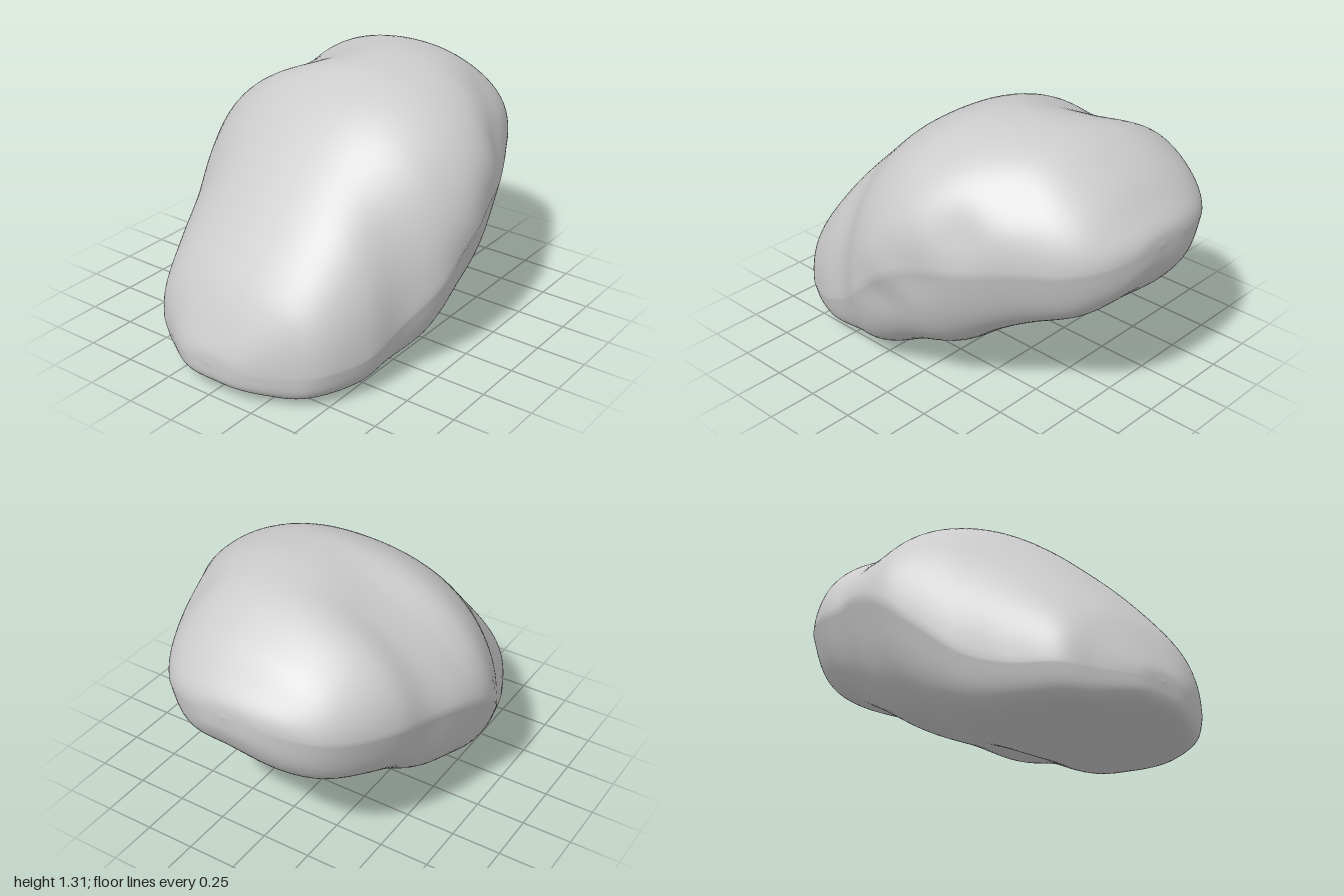
import * as THREE from 'three';

// Cross-sections from front to back:
// z, top y, bottom y, left edge x, right edge x, height of widest line, roundness of the sloping shoulder
const sections = [
  [1.0, 0.17, 0.17, 0.0, 0.0, 0.17, 2.2],
  [0.985, 0.25, 0.08, -0.16, 0.17, 0.16, 2.2],
  [0.9, 0.43, 0.035, -0.32, 0.37, 0.17, 2.3],
  [0.8, 0.58, 0.01, -0.455, 0.51, 0.19, 2.3],
  [0.6, 0.81, 0.0, -0.555, 0.61, 0.22, 2.3],
  [0.4, 1.01, 0.005, -0.63, 0.65, 0.31, 2.3],
  [0.2, 1.18, 0.04, -0.71, 0.75, 0.48, 2.2],
  [0.0, 1.28, 0.12, -0.77, 0.78, 0.65, 1.95],
  [-0.2, 1.31, 0.18, -0.75, 0.75, 0.74, 1.65],
  [-0.4, 1.31, 0.31, -0.69, 0.67, 0.77, 1.75],
  [-0.6, 1.27, 0.42, -0.65, 0.57, 0.81, 2.1],
  [-0.8, 1.15, 0.51, -0.54, 0.46, 0.83, 2.2],
  [-0.92, 1.03, 0.63, -0.41, 0.34, 0.85, 2.1],
  [-0.985, 0.95, 0.76, -0.22, 0.18, 0.87, 2.1],
  [-1.0, 0.88, 0.88, 0.0, 0.0, 0.88, 2.0],
];

const spline = (...cols) => new THREE.CatmullRomCurve3(
  sections.map((s) => new THREE.Vector3(...cols.map((c) => s[c]))), false, 'catmullrom', 0.5);

// Shallow hollows: x, y, z, radius, depth (the first four form a slanting groove)
const hollows = [
  [0.7, 0.54, 0.05, 0.13, 0.02],
  [0.68, 0.74, -0.15, 0.13, 0.025],
  [0.6, 0.93, -0.35, 0.13, 0.025],
  [0.45, 1.1, -0.52, 0.13, 0.02],
  [-0.3, 1.2, -0.25, 0.2, 0.015],
  [-0.45, 0.7, 0.4, 0.2, 0.015],
];

const hollowDepth = (p) => hollows.reduce((sum, [x, y, z, r, d]) =>
  sum + d * Math.exp(-((p.x - x) ** 2 + (p.y - y) ** 2 + (p.z - z) ** 2) / (r * r)), 0);

function boulderGeometry(rows = 84, cols = 128) {
  const heights = spline(0, 1, 2);
  const widths = spline(3, 4, 5);
  const shoulders = spline(0, 1, 6);
  const pos = [];
  const index = [];
  const p = new THREE.Vector3();
  for (let i = 0; i <= rows; i++) {
    const h = heights.getPoint(i / rows);
    const w = widths.getPoint(i / rows);
    const shoulder = shoulders.getPoint(i / rows).z;
    const mid = (w.x + w.y) / 2 + 0.06 * Math.min(1, (w.y - w.x) / 1.2);
    const front = THREE.MathUtils.smoothstep(h.x, -0.1, 0.6);
    const thick = Math.min(1, (h.y - h.z) * 2);
    for (let j = 0; j < cols; j++) {
      const a = (j / cols) * Math.PI * 2;
      const c = Math.cos(a);
      const s = Math.sin(a);
      // Sloping left shoulder, fuller right shoulder, flat base with firm edges
      const n = s < 0 ? 4.2 : c > 0 ? 2.15 + 0.3 * front : shoulder;
      const r = 1 / Math.pow(Math.abs(c) ** n + Math.abs(s) ** n, 1 / n);
      // Flanks lean inwards towards the base
      const taper = 1 - (0.2 - 0.1 * front) * Math.max(0, -r * s);
      p.set(
        mid + taper * r * c * (c > 0 ? w.y - mid : mid - w.x),
        w.z + r * s * (s > 0 ? h.y - w.z : w.z - h.z),
        h.x);
      const dent = hollowDepth(p);
      p.x -= dent * c;
      p.y -= dent * s;
      // Underside tilts up to the right and is rougher towards the back
      if (s < 0) {
        const under = s * s * thick * (1 - front);
        const rough = 1 + Math.sin(9 * p.x + 4 * p.z) * Math.cos(11 * p.z - 3 * p.x);
        p.y += under * (0.02 * (1 + c) + 0.01 * rough);
      }
      pos.push(p.x, Math.max(0, p.y), p.z);
      if (i < rows) {
        const k = i * cols + j;
        const k1 = i * cols + ((j + 1) % cols);
        index.push(k, k + cols, k1, k1, k + cols, k1 + cols);
      }
    }
  }
  const g = new THREE.BufferGeometry();
  g.setAttribute('position', new THREE.Float32BufferAttribute(pos, 3));
  g.setIndex(index);
  g.computeVertexNormals();
  return g;
}

export function createModel() {
  const group = new THREE.Group();
  group.name = 'rock';
  const boulder = new THREE.Mesh(
    boulderGeometry(),
    new THREE.MeshStandardMaterial({ color: 0xcccccc }));
  boulder.name = 'boulder';
  group.add(boulder);
  return group;
}
